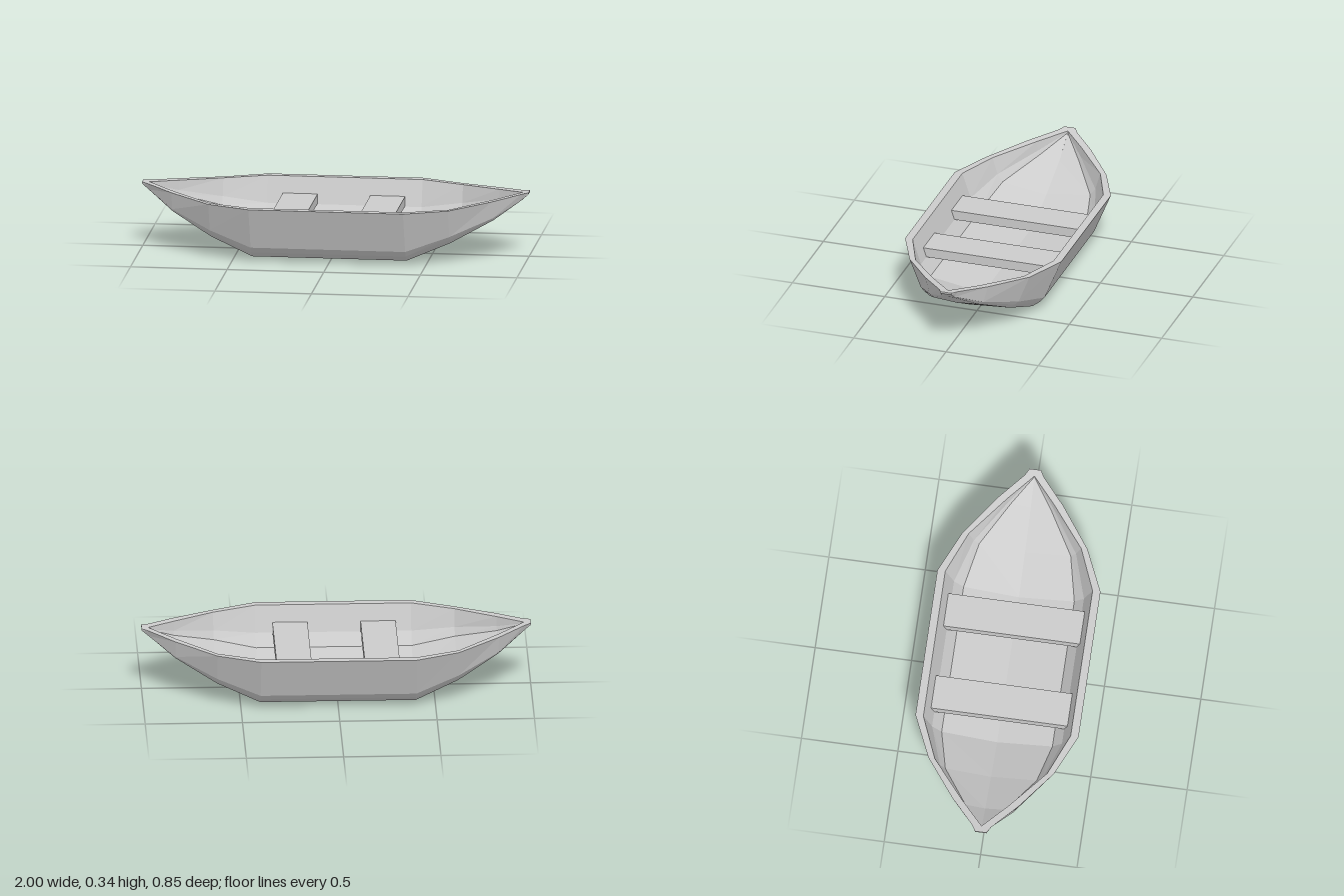
import * as THREE from 'three';

const grey = () => new THREE.MeshStandardMaterial({ color: 0xcccccc, flatShading: true });

// Half stations from midship to stem; each point is [z, y].
// outer: gunwale, upper bilge, middle bilge, chine, keel
// inner: gunwale, upper bilge, floor edge, floor centre
const STATIONS = [
  { x: 0.4, outer: [[0.423, 0.3], [0.332, 0.08], [0.305, 0.05], [0.266, 0.02], [0, 0]],
    inner: [[0.382, 0.3], [0.337, 0.165], [0.287, 0.102], [0, 0.055]] },
  { x: 0.62, outer: [[0.325, 0.3], [0.265, 0.15], [0.245, 0.13], [0.218, 0.108], [0, 0.092]],
    inner: [[0.292, 0.3], [0.265, 0.21], [0.237, 0.17], [0, 0.135]] },
  { x: 0.83, outer: [[0.17, 0.32], [0.145, 0.228], [0.135, 0.221], [0.12, 0.212], [0, 0.202]],
    inner: [[0.122, 0.32], [0.115, 0.27], [0.103, 0.25], [0, 0.23]] },
  { x: 0.965, outer: [[0.05, 0.336], [0.034, 0.303], [0.029, 0.301], [0.023, 0.3], [0, 0.3]],
    inner: [[0, 0.336], [0, 0.33], [0, 0.326], [0, 0.324]] },
  { x: 1, outer: [[0.03, 0.341], [0.03, 0.332], [0.025, 0.332], [0.02, 0.332], [0, 0.332]],
    inner: [[0, 0.341], [0, 0.341], [0, 0.341], [0, 0.341]] },
];

// Closed ring: down the outside, up the far side, then back along the inside
function ring({ outer, inner }, x) {
  const point = ([z, y]) => new THREE.Vector3(x, y, z);
  const flip = ([z, y]) => point([-z, y]);
  return [
    ...outer.map(point), ...outer.slice(0, -1).reverse().map(flip),
    ...inner.map(flip), ...inner.slice(0, -1).reverse().map(point),
  ];
}

function hullGeometry() {
  const rings = [
    ...[...STATIONS].reverse().map((s) => ring(s, -s.x)),
    ...STATIONS.map((s) => ring(s, s.x)),
  ];
  const positions = [];
  const tri = (a, b, c) => {
    const area = b.clone().sub(a).cross(c.clone().sub(a)).length();
    if (area > 1e-8) for (const p of [a, b, c]) positions.push(p.x, p.y, p.z);
  };
  const n = rings[0].length;
  for (let i = 0; i < rings.length - 1; i++) {
    for (let j = 0; j < n; j++) {
      const k = (j + 1) % n;
      const a = rings[i][j], b = rings[i + 1][j], c = rings[i][k], d = rings[i + 1][k];
      tri(a, c, b);
      tri(b, c, d);
    }
  }
  // Small blunt faces at both stems
  for (const [r, sign] of [[rings[0], -1], [rings[rings.length - 1], 1]]) {
    const centre = new THREE.Vector3(sign, 0.341, 0);
    for (let j = 0; j < 8; j++) {
      if (sign > 0) tri(centre, r[j], r[j + 1]);
      else tri(centre, r[j + 1], r[j]);
    }
  }
  const geometry = new THREE.BufferGeometry();
  geometry.setAttribute('position', new THREE.Float32BufferAttribute(positions, 3));
  geometry.computeVertexNormals();
  return geometry;
}

export function createModel() {
  const boat = new THREE.Group();
  boat.name = 'rowingBoat';

  const hull = new THREE.Mesh(hullGeometry(), grey());
  hull.name = 'hull';
  boat.add(hull);

  // Two plank seats spanning the hull
  for (const [name, x] of [['rightSeat', -0.23], ['leftSeat', 0.223]]) {
    const seat = new THREE.Mesh(new THREE.BoxGeometry(0.18, 0.05, 0.708), grey());
    seat.name = name;
    seat.position.set(x, 0.19, 0);
    boat.add(seat);
  }
  return boat;
}
